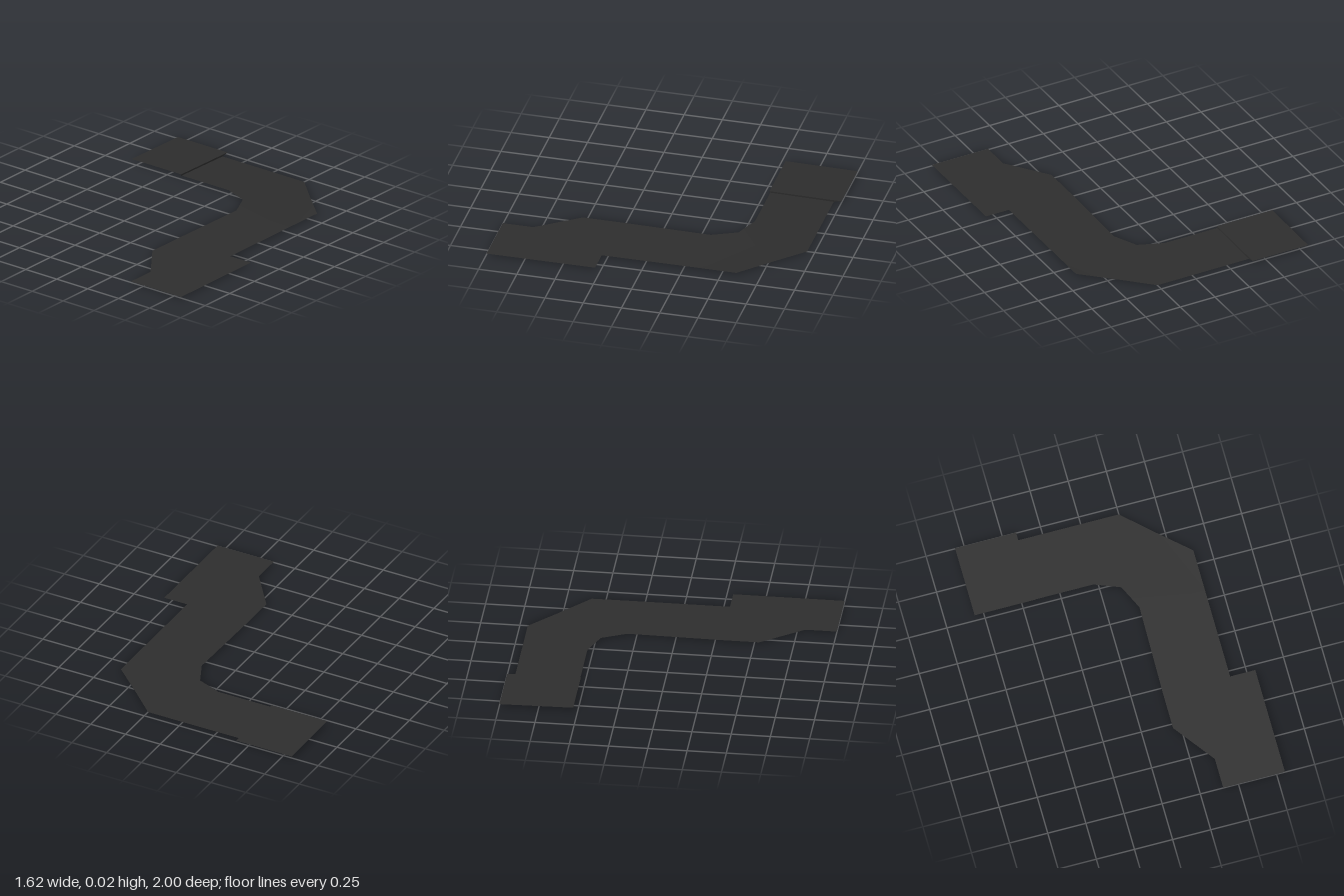
import * as THREE from 'three';

export function createModel() {
  const group = new THREE.Group();
  group.name = 'walkway';
  const asphalt = new THREE.MeshStandardMaterial({ color: 0x2d2d2d, side: THREE.DoubleSide });
  asphalt.name = 'dark asphalt';

  // Flat sheet from an [x, z] outline, with its height set by a rule
  function sheet(name, outline, height) {
    const shape = new THREE.Shape(outline.map(([x, z]) => new THREE.Vector2(x, -z)));
    const geometry = new THREE.ShapeGeometry(shape).rotateX(-Math.PI / 2);
    const p = geometry.attributes.position;
    for (let i = 0; i < p.count; i++) p.setY(i, height(p.getX(i), p.getZ(i)));
    geometry.computeVertexNormals();
    const mesh = new THREE.Mesh(geometry, asphalt);
    mesh.name = name;
    group.add(mesh);
  }

  // Gentle cross-falls of the sheets
  const padHeight = (x, z) => 0.011 + (z + 1) * 0.012;
  const backHeight = (x, z) => 0.007 * (z + 0.95) / 0.415;
  const level = () => 0.007;

  // Raised end pad
  sheet('endPad', [[-0.81, -1], [-0.81, -0.53], [-0.41, -0.53], [-0.41, -1]], padHeight);

  // Back run beside the pad
  sheet('backRun', [[-0.41, -0.95], [-0.41, -0.535], [-0.03, -0.535], [0.25, -0.95]], backHeight);

  // Angled corner
  sheet('corner', [[0.25, -0.95], [-0.03, -0.535], [0.135, -0.47], [0.21, -0.31],
    [0.64, -0.31], [0.64, -0.59], [0.42, -0.79]],
  (x, z) => Math.min(0.007, backHeight(x, z)));

  // Long straight run and the offset front landing
  sheet('longRun', [[0.21, -0.31], [0.2, 0.29], [0.64, 0.29], [0.64, -0.31]], level);
  sheet('frontLanding', [[0.2, 0.29], [0.2, 0.53], [0.4, 0.8], [0.4, 1], [0.805, 1], [0.805, 0.29]], level);

  // Small riser between the pad and the back run
  const riser = new THREE.BufferGeometry();
  riser.setAttribute('position', new THREE.Float32BufferAttribute([
    -0.41, 0.007, -0.53, -0.41, 0, -0.95, -0.41, padHeight(0, -1), -1, -0.41, padHeight(0, -0.53), -0.53,
  ], 3));
  riser.setIndex([0, 1, 2, 0, 2, 3]);
  riser.computeVertexNormals();
  const riserMesh = new THREE.Mesh(riser, asphalt);
  riserMesh.name = 'padRiser';
  group.add(riserMesh);

  return group;
}
